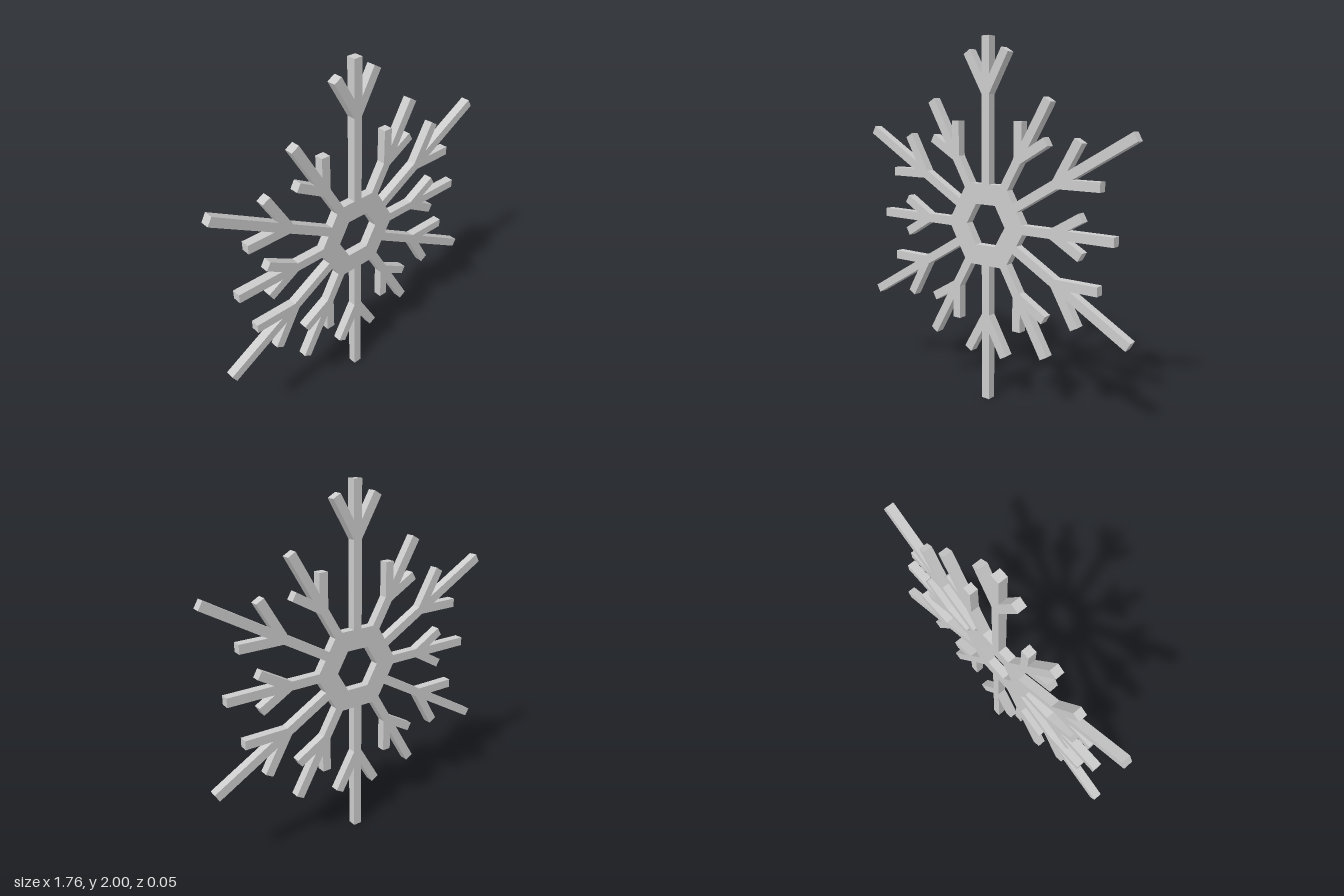
import * as THREE from 'three';

const WIDTH = 0.05; // bar width and plate thickness
const HUB_OUTER = 0.26, HUB_INNER = 0.13;
const ARM_START = 0.2; // arms begin inside the hub ring

const material = new THREE.MeshStandardMaterial({ color: 0xcccccc, flatShading: true });

// Square bar running along +y from the local origin
function bar(name, length) {
  const geometry = new THREE.BoxGeometry(WIDTH, length, WIDTH).translate(0, length / 2, 0);
  const mesh = new THREE.Mesh(geometry, material);
  mesh.name = name;
  return mesh;
}

// Stem pointing up with a mirrored pair of side branches
function arm(name, tip, fork, branchLength) {
  const group = new THREE.Group();
  group.name = name;
  const stem = bar('stem', tip - ARM_START);
  stem.position.y = ARM_START;
  group.add(stem);
  for (const side of [-1, 1]) {
    const branch = bar(side > 0 ? 'leftBranch' : 'rightBranch', branchLength);
    branch.position.y = fork;
    branch.rotation.z = -side * Math.PI / 6;
    group.add(branch);
  }
  return group;
}

function hexagon(path, radius) {
  for (let i = 0; i < 6; i++) {
    const a = i * Math.PI / 3;
    const x = radius * Math.cos(a), y = radius * Math.sin(a);
    if (i === 0) path.moveTo(x, y);
    else path.lineTo(x, y);
  }
  path.closePath();
  return path;
}

export function createModel() {
  const model = new THREE.Group();
  model.name = 'snowflake';

  // Hexagonal hub with a hexagonal hole
  const shape = hexagon(new THREE.Shape(), HUB_OUTER);
  shape.holes.push(hexagon(new THREE.Path(), HUB_INNER));
  const hubGeometry = new THREE.ExtrudeGeometry(shape, { depth: WIDTH, bevelEnabled: false });
  const hub = new THREE.Mesh(hubGeometry.translate(0, 0, -WIDTH / 2), material);
  hub.name = 'hub';
  hub.position.y = 1;
  model.add(hub);

  // Twelve arms, alternating long and short; the top arm forks further out
  for (let i = 0; i < 12; i++) {
    const spoke = i % 2 === 0
      ? arm('longArm', 1, i === 0 ? 0.708 : 0.512, 0.25)
      : arm('shortArm', 0.775, 0.42, 0.198);
    spoke.position.y = 1;
    spoke.rotation.z = -i * Math.PI / 6;
    model.add(spoke);
  }
  return model;
}
